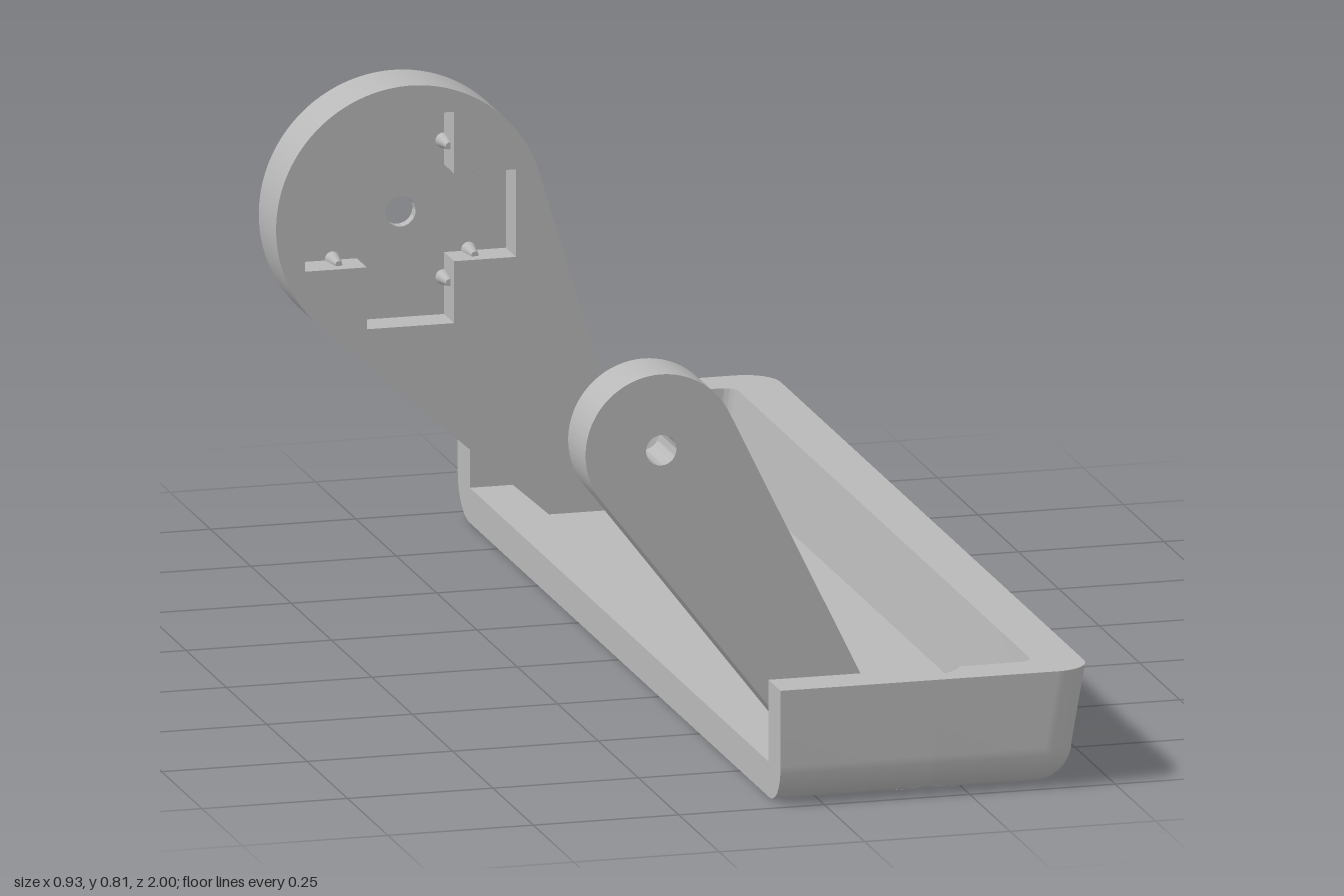
import * as THREE from 'three';
import { toCreasedNormals } from 'three/addons/utils/BufferGeometryUtils.js';

const X0 = -0.075, TOP = 0.2, FLOOR = 0.06, FIL = 0.07, INNER = 0.925;
const HX = 0.19, HZ = 0.9, HR = 0.068;          // screw holes in the tray
const CX = -0.233, CY = 0.58;                   // pivot axis of the arms

// Half width of the screw hole where it meets an end wall at z = e
const notch = (e) => Math.sqrt(Math.max(0, HR * HR - (e - HZ) ** 2));

// Half outline (+z side) of the tray at one height, then its mirror image
function ring(x1, e, r) {
  const w = notch(e), half = [[X0, e], [HX - w, e], [HX + w, e]];
  for (let i = 0; i <= 8; i++) {
    const a = (Math.PI / 2) * (1 - i / 8);
    half.push([x1 - r + r * Math.cos(a), e - r + r * Math.sin(a)]);
  }
  return half.concat(half.map(([x, z]) => [x, -z]).reverse());
}

// Hole arc between the notch corners, on the inward or outward side
function holeArc(e, inward) {
  const a = Math.asin((e - HZ) / HR), pts = [];
  const from = Math.PI - a, to = inward ? 2 * Math.PI + a : a;
  for (let i = 0; i <= 28; i++) {
    const t = from + ((to - from) * i) / 28;
    pts.push([HX + HR * Math.cos(t), HZ + HR * Math.sin(t)]);
  }
  return pts;
}

// Ring with the arcs of the two screw holes put in
function notched(pts, e, inward) {
  const arc = holeArc(e, inward);
  const mirror = arc.map(([x, z]) => [x, -z]).reverse();
  return [pts[0], ...arc, ...pts.slice(3, 21), ...mirror, pts[23]];
}

const flat = (pts) => new THREE.ShapeGeometry(new THREE.Shape(pts.map(([x, y]) => new THREE.Vector2(x, y))));
const cap = (pts, y, up) => flat(pts).rotateX(up ? -Math.PI / 2 : Math.PI / 2).translate(0, y, 0);

// Surface through rows of [x, y, z] points, leaving out the skipped columns
function loft(rows, skip = []) {
  const n = rows[0].length, index = [];
  for (let i = 0; i < rows.length - 1; i++) {
    for (let j = 0; j < n - 1; j++) {
      if (skip.includes(j)) continue;
      const a = i * n + j, b = a + n;
      index.push(a, b, a + 1, a + 1, b, b + 1);
    }
  }
  const g = new THREE.BufferGeometry();
  g.setAttribute('position', new THREE.Float32BufferAttribute(rows.flat(2), 3));
  g.setIndex(index);
  g.computeVertexNormals();
  return g;
}
const lift = (pts, y) => pts.map(([x, z]) => [x, y, z]);

// Arm outline: a round head with tangent sides running to the base
function armShape(radius) {
  const tangent = (x, y, side) => {
    const dx = x - CX, dy = y - CY;
    return Math.atan2(dy, dx) + side * Math.acos(radius / Math.hypot(dx, dy));
  };
  const s = new THREE.Shape();
  s.moveTo(0.005, FLOOR);
  s.lineTo(0.165, FLOOR);
  s.absarc(CX, CY, radius, tangent(0.165, FLOOR, 1), tangent(0.005, FLOOR, -1) + 2 * Math.PI, false);
  s.closePath();
  return s;
}
const roundHole = (r) => new THREE.Path().absarc(CX, CY, r, 0, Math.PI * 2, true);

function crossHole(l, w) {
  const p = [[l, w], [w, w], [w, l], [-w, l], [-w, w], [-l, w], [-l, -w], [-w, -w], [-w, -l], [w, -l], [w, -w], [l, -w]];
  return new THREE.Path(p.map(([x, y]) => new THREE.Vector2(CX + x, CY + y)));
}

function armLayer(radius, hole, z0, z1) {
  const s = armShape(radius);
  s.holes.push(hole);
  const g = new THREE.ExtrudeGeometry(s, { depth: z1 - z0, bevelEnabled: false, curveSegments: 40 });
  return toCreasedNormals(g.translate(0, 0, z0), 0.5);
}

export function createModel() {
  const model = new THREE.Group();
  const grey = new THREE.MeshStandardMaterial({ color: 0xb8b8b8, side: THREE.DoubleSide });
  grey.name = 'grey plastic';
  const add = (parent, name, geometry) => {
    const m = new THREE.Mesh(geometry, grey);
    m.name = name;
    parent.add(m);
    return m;
  };
  const group = (name) => {
    const g = new THREE.Group();
    g.name = name;
    model.add(g);
    return g;
  };

  // Tray outside: rounded bottom edge, then walls with a sloping long side
  const tray = group('tray');
  const angles = [Math.asin((HZ + HR - 1 + FIL) / FIL)];
  for (let i = 0; i <= 8; i++) angles.push((i / 8) * Math.PI / 2);
  angles.sort((a, b) => a - b);
  const levels = angles.map((t) => ({
    y: FIL * (1 - Math.cos(t)), e: 1 - FIL + FIL * Math.sin(t), x: 0.37 + FIL * Math.sin(t),
  }));
  levels.push({ y: TOP, e: 1, x: 0.463 });
  const outer = levels.map((l) => ring(l.x, l.e, Math.max(0.012, l.e - 0.94)));
  add(tray, 'outerWall', loft(outer.map((r, i) => lift(r, levels[i].y)), [1, 21]));
  add(tray, 'underside', cap(notched(outer[0], levels[0].e, true), 0, false));

  // Tray inside: floor, inner wall and rim
  const low = ring(0.36, INNER, 0.025), high = ring(0.38, INNER, 0.025);
  add(tray, 'floor', cap(notched(low, INNER, true), FLOOR, true));
  add(tray, 'innerWall', toCreasedNormals(loft([lift(high, TOP), lift(low, FLOOR)], [1, 21]), 0.6));
  const rim = [...outer[outer.length - 1], ...notched(high, INNER, false).reverse()];
  add(tray, 'rim', cap(rim, TOP, true));

  // Cut face along the open long side
  const edge = levels.map((l) => [l.e, l.y]);
  const profile = [
    ...edge.slice().reverse(), ...edge.map(([z, y]) => [-z, y]),
    [-INNER, TOP], [-INNER, FLOOR], [INNER, FLOOR], [INNER, TOP],
  ];
  add(tray, 'openEdge', flat(profile).rotateY(-Math.PI / 2).translate(X0, 0, 0));

  // Screw holes: through the floor, and up into the end walls
  const under = (z) => FIL - Math.sqrt(FIL * FIL - Math.max(0, z - 1 + FIL) ** 2);
  for (const side of [1, -1]) {
    for (const inward of [true, false]) {
      const arc = holeArc(INNER, inward).map(([x, z]) => [x, z, under(z)]);
      add(tray, 'screwHole', loft([
        arc.map(([x, z]) => [x, inward ? FLOOR : TOP, z * side]),
        arc.map(([x, z, y]) => [x, y, z * side]),
      ]));
    }
  }

  // Small front arm
  add(model, 'smallArm', armLayer(0.13, roundHole(0.026), 0.722, 0.83));

  // Large rear arm: cross-shaped pocket in front, counterbore behind
  const arm = group('largeArm');
  add(arm, 'pocketLayer', armLayer(0.231, crossHole(0.181, 0.075), -0.785, -0.723));
  add(arm, 'middleLayer', armLayer(0.231, roundHole(0.026), -0.805, -0.785));
  add(arm, 'counterboreLayer', armLayer(0.231, roundHole(0.05), -0.83, -0.805));

  // Retaining pegs on the pocket walls
  const peg = new THREE.CylinderGeometry(0.006, 0.013, 0.04, 16).rotateX(Math.PI / 2);
  for (const a of [1, -1]) {
    for (const b of [1, -1]) {
      add(arm, 'peg', peg).position.set(CX + a * 0.117, CY + b * 0.073, -0.765);
      add(arm, 'peg', peg).position.set(CX + a * 0.073, CY + b * 0.117, -0.765);
    }
  }
  return model;
}
